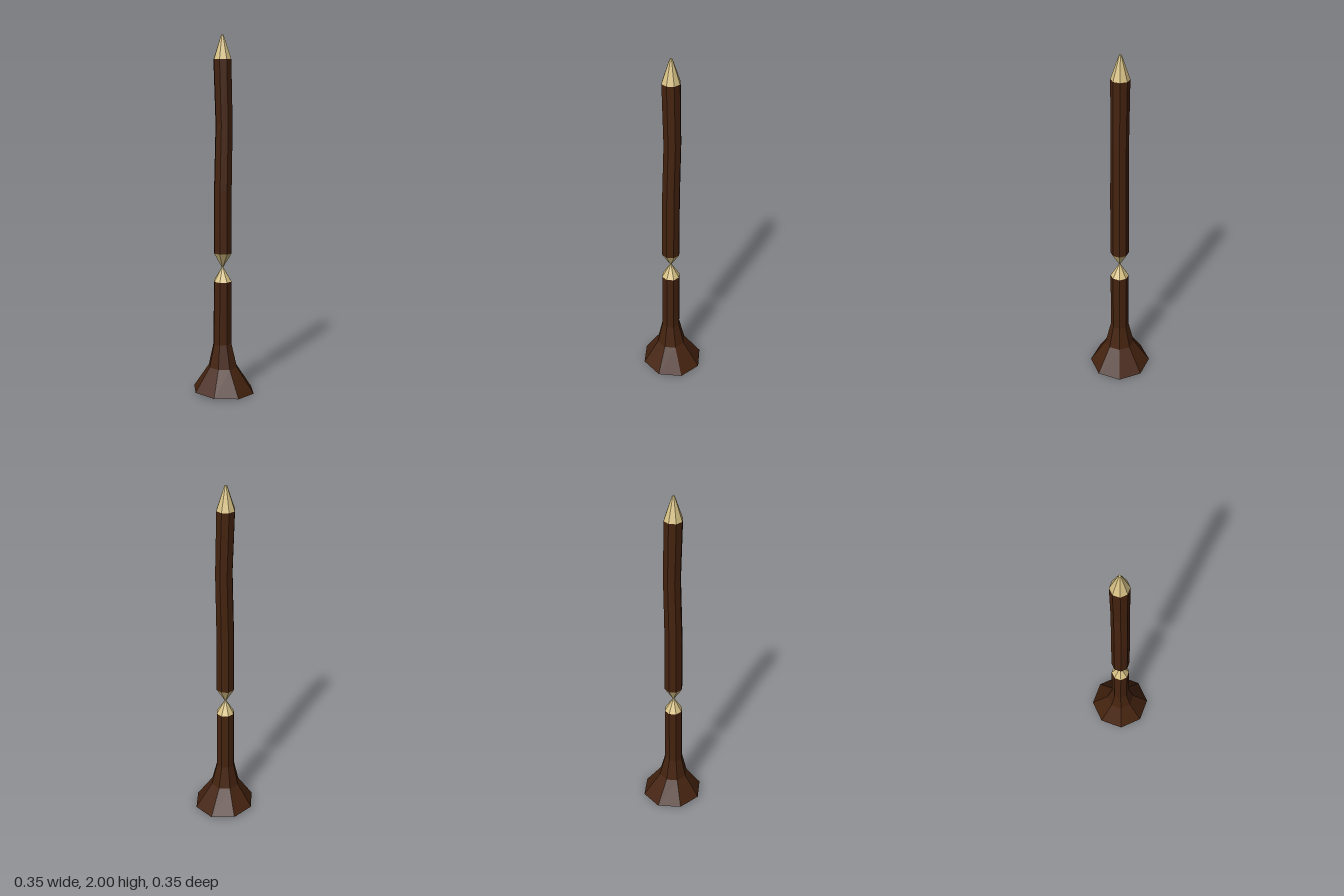
import * as THREE from 'three';

const SIDES = 8;
const TURN = THREE.MathUtils.degToRad(10);

// Faceted skin through octagonal rings { x, y, z, r }, listed from bottom to top;
// tiltX / tiltZ slope a ring.
function loft(rings, capTop = false) {
  const corner = ({ x, y, z, r, tiltX = 0, tiltZ = 0 }, i) => {
    const a = TURN + (i / SIDES) * Math.PI * 2;
    const dx = r * Math.cos(a), dz = r * Math.sin(a);
    return [x + dx, y + dx * tiltX + dz * tiltZ, z + dz];
  };
  const positions = [];
  for (let k = 0; k < rings.length - 1; k++) {
    for (let i = 0; i < SIDES; i++) {
      const a = corner(rings[k], i), b = corner(rings[k], i + 1);
      const c = corner(rings[k + 1], i), d = corner(rings[k + 1], i + 1);
      positions.push(...a, ...c, ...b, ...b, ...c, ...d);
    }
  }
  if (capTop) {
    const top = rings[rings.length - 1];
    for (let i = 0; i < SIDES; i++) {
      positions.push(top.x, top.y, top.z, ...corner(top, i + 1), ...corner(top, i));
    }
  }
  const geometry = new THREE.BufferGeometry();
  geometry.setAttribute('position', new THREE.Float32BufferAttribute(positions, 3));
  geometry.computeVertexNormals();
  return geometry;
}

export function createModel() {
  const bark = new THREE.MeshStandardMaterial({
    name: 'bark', color: 0x45230f, flatShading: true, side: THREE.DoubleSide,
  });
  const bareWood = new THREE.MeshStandardMaterial({
    name: 'bareWood', color: 0xd8c285, flatShading: true, side: THREE.DoubleSide,
  });

  const group = new THREE.Group();
  group.name = 'gnawedTrunk';
  const add = (name, material, rings, capTop) => {
    const mesh = new THREE.Mesh(loft(rings, capTop), material);
    mesh.name = name;
    group.add(mesh);
  };

  // Rings shared by neighbouring parts
  const stumpTop = { x: -0.005, y: 0.645, z: 0.005, r: 0.052 };
  const waist = { x: -0.006, y: 0.725, z: 0.005, r: 0.004 };
  const logBottom = { x: -0.005, y: 0.805, z: 0.005, r: 0.052 };
  const logTop = { x: -0.007, y: 1.87, z: 0.002, r: 0.051 };

  // Flared stump, open underneath
  add('stump', bark, [
    { x: 0, y: 0.011, z: -0.001, r: 0.178, tiltX: -0.045, tiltZ: 0.012 },
    { x: -0.004, y: 0.152, z: 0.004, r: 0.084, tiltX: -0.02 },
    { x: -0.006, y: 0.285, z: 0.005, r: 0.053 },
    stumpTop,
  ]);

  // Gnawed waist: two cones meeting at a thin neck
  add('lowerGnawedCone', bareWood, [stumpTop, waist]);
  add('upperGnawedCone', bareWood, [waist, logBottom]);

  // Slightly bent upper trunk
  add('upperTrunk', bark, [
    logBottom,
    { x: -0.004, y: 1.16, z: 0.005, r: 0.051 },
    { x: 0.002, y: 1.52, z: -0.001, r: 0.049 },
    logTop,
  ]);

  // Pointed tip with a tiny blunt end
  add('tip', bareWood, [logTop, { x: -0.007, y: 2, z: 0.002, r: 0.007 }], true);

  return group;
}
